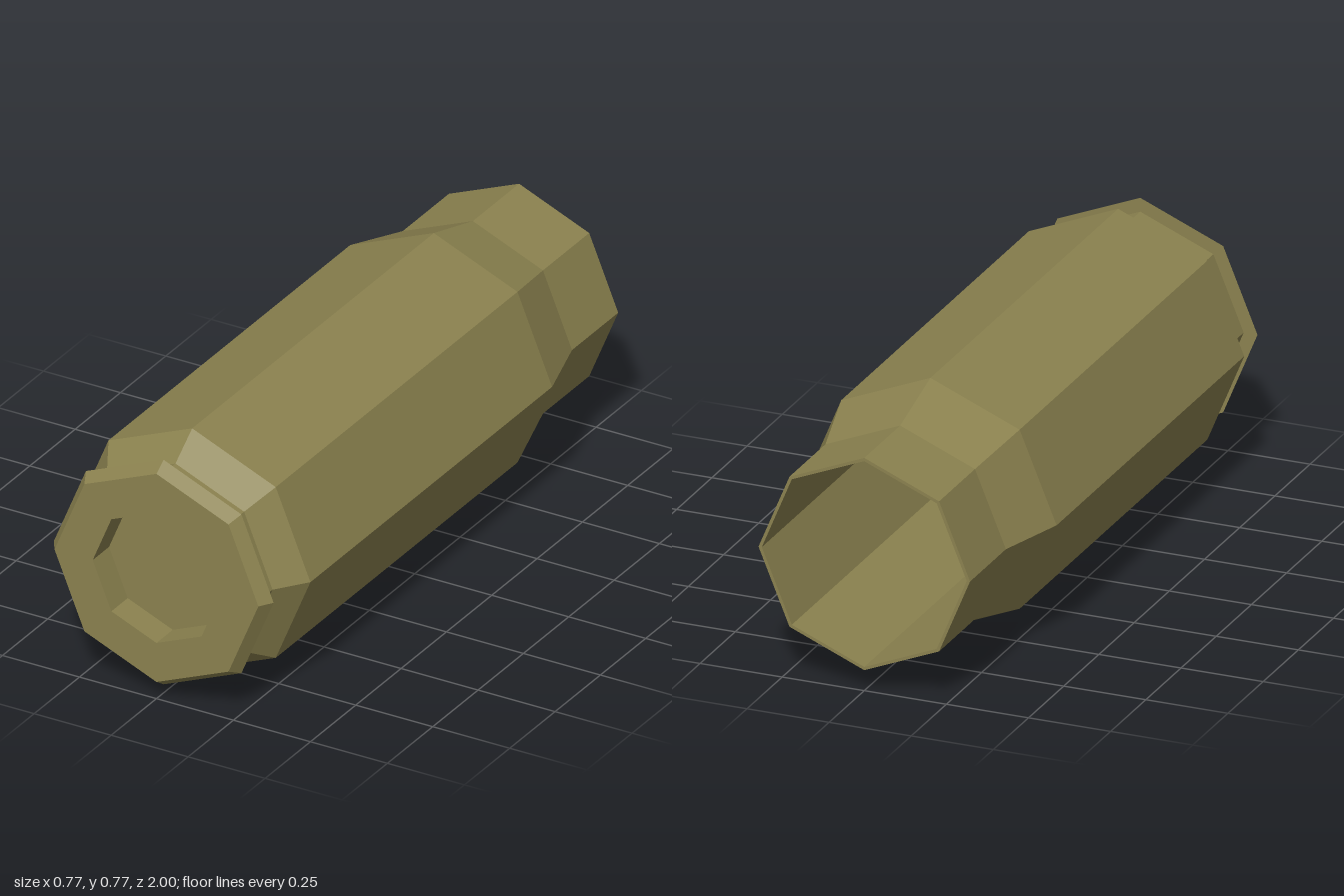
import * as THREE from 'three';

const SIDES = 8;
const RADIUS = 0.384;

export function createModel() {
  const brass = new THREE.MeshStandardMaterial({ color: 0x8b824f, flatShading: true });
  brass.name = 'brass';

  const model = new THREE.Group();
  model.name = 'casing';

  // Turns a [radius, z] profile into an eight-sided part lying along z
  const addTurned = (name, profile) => {
    const points = profile.map(([r, z]) => new THREE.Vector2(r, z));
    const geometry = new THREE.LatheGeometry(points, SIDES);
    geometry.rotateX(Math.PI / 2);
    const mesh = new THREE.Mesh(geometry, brass);
    mesh.name = name;
    mesh.position.y = RADIUS;
    model.add(mesh);
  };

  // Straight bore, open at the back
  addTurned('bore', [[0, 0.8], [0.312, 0.8], [0.312, -1]]);
  // Mouth lip and neck
  addTurned('neck', [[0.312, -1], [0.322, -1], [0.322, -0.745]]);
  // Sloped shoulder
  addTurned('shoulder', [[0.322, -0.745], [RADIUS, -0.53]]);
  // Main body
  addTurned('body', [[RADIUS, -0.53], [RADIUS, 0.803]]);
  // Groove in front of the rim
  addTurned('extractorGroove', [[RADIUS, 0.803], [0.315, 0.895], [0.315, 0.96]]);
  // Flared rim and front face
  addTurned('rim', [[0.315, 0.96], [0.357, 0.96], [0.331, 1], [0.207, 1]]);
  // Recess in the front face
  addTurned('primerPocket', [[0.207, 1], [0.207, 0.91], [0, 0.91]]);

  return model;
}
